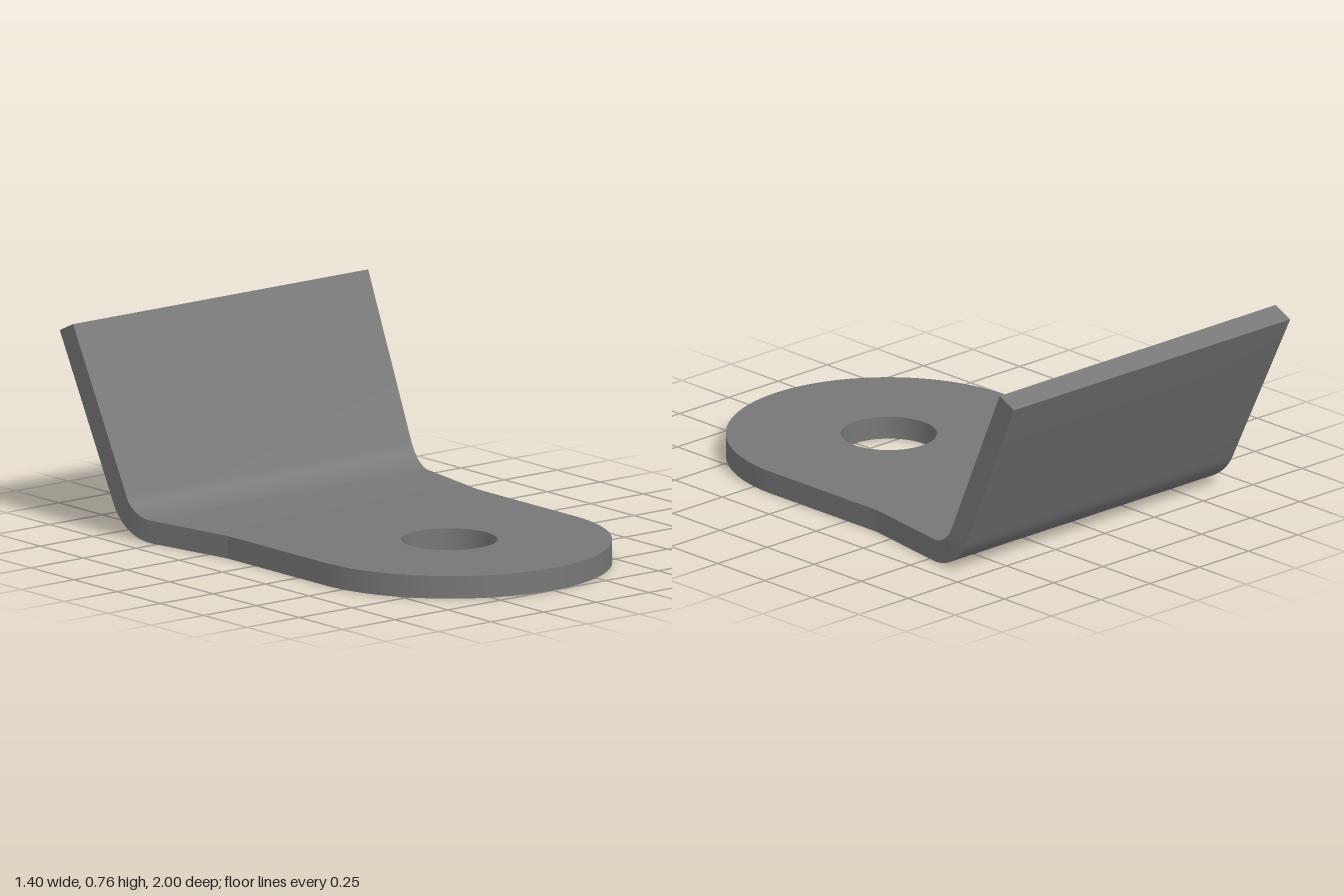
import * as THREE from 'three';
import { toCreasedNormals } from 'three/addons/utils/BufferGeometryUtils.js';

const T = 0.085;               // sheet thickness
const R = 0.595;               // rounded end radius
const EYE_Z = 0.405;           // centre of rounded end
const TAPER_Z = -0.16;         // where the plate starts to widen
const BEND_Z = -0.525;         // where the bend starts
const INNER_R = 0.13;
const ANGLE = THREE.MathUtils.degToRad(65);
const FLANGE = 0.664;          // straight length after the bend

// Flat plate with rounded end and bolt hole
function plateGeometry() {
  const s = new THREE.Shape();
  s.moveTo(R, -TAPER_Z);
  s.lineTo(-R, -TAPER_Z);
  s.lineTo(-R, -EYE_Z);
  s.absarc(0, -EYE_Z, R, Math.PI, Math.PI * 2, false);
  s.closePath();
  const hole = new THREE.Path();
  hole.absarc(0, -0.4, 0.177, 0, Math.PI * 2, true);
  s.holes.push(hole);
  const g = new THREE.ExtrudeGeometry(s, { depth: T, bevelEnabled: false, curveSegments: 40 });
  g.rotateX(-Math.PI / 2);
  return toCreasedNormals(g, 0.5);
}

// Widening neck, bend and raised flange, lofted through rectangular sections
function flangeGeometry() {
  const rings = [];
  // z, y lie on the underside; a is the slope of the sheet there
  const ring = (w, z, y, a) => {
    const tz = z + T * Math.sin(a), ty = y + T * Math.cos(a);
    rings.push([[-w, ty, tz], [w, ty, tz], [w, y, z], [-w, y, z]]);
  };
  ring(R, TAPER_Z, 0, 0);
  const outer = INNER_R + T, steps = 16;
  for (let i = 0; i <= steps; i++) {
    const t = i / steps, a = ANGLE * t;
    const w = 0.656 + 0.022 * Math.sin(t * Math.PI / 2);
    ring(w, BEND_Z - outer * Math.sin(a), outer * (1 - Math.cos(a)), a);
  }
  ring(0.701,
    BEND_Z - outer * Math.sin(ANGLE) - FLANGE * Math.cos(ANGLE),
    outer * (1 - Math.cos(ANGLE)) + FLANGE * Math.sin(ANGLE), ANGLE);

  const pos = [];
  const quad = (a, b, c, d) => pos.push(...a, ...b, ...c, ...a, ...c, ...d);
  for (let i = 0; i < rings.length - 1; i++) {
    const p = rings[i], q = rings[i + 1];
    for (let j = 0; j < 4; j++) {
      const k = (j + 1) % 4;
      quad(p[j], p[k], q[k], q[j]);
    }
  }
  quad(...rings[rings.length - 1]);
  const g = new THREE.BufferGeometry();
  g.setAttribute('position', new THREE.Float32BufferAttribute(pos, 3));
  return toCreasedNormals(g, 0.5);
}

export function createModel() {
  const steel = new THREE.MeshStandardMaterial({ color: 0x777777 });
  steel.name = 'steel grey';
  const group = new THREE.Group();
  group.name = 'bentBracket';
  const add = (name, geometry) => {
    const m = new THREE.Mesh(geometry, steel);
    m.name = name;
    group.add(m);
  };
  add('mountingPlate', plateGeometry());
  add('bentFlange', flangeGeometry());
  return group;
}
